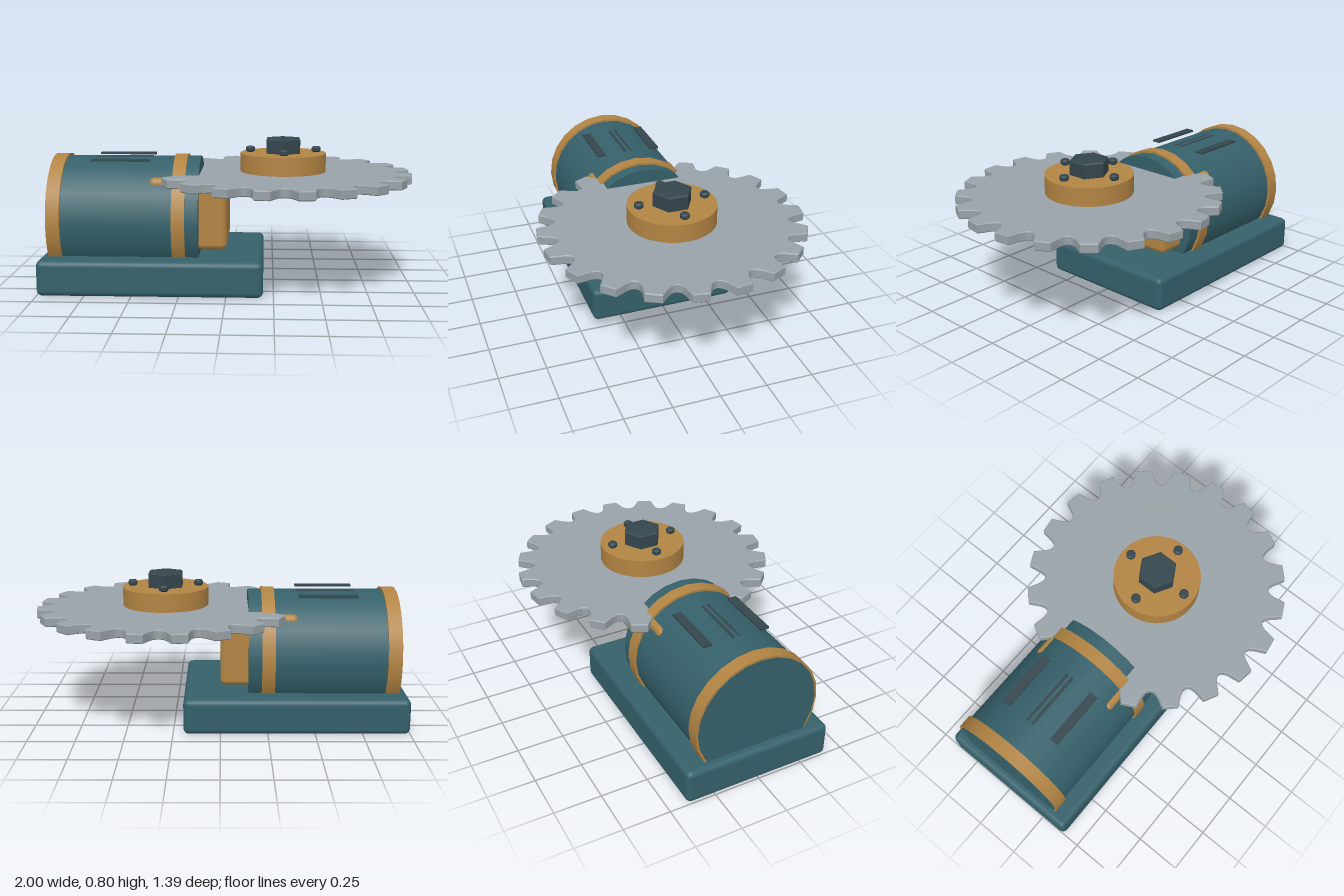
import * as THREE from 'three';
import { RoundedBoxGeometry } from 'three/addons/geometries/RoundedBoxGeometry.js';
import { toCreasedNormals } from 'three/addons/utils/BufferGeometryUtils.js';

const material = (name, color) => {
  const m = new THREE.MeshStandardMaterial({ color });
  m.name = name;
  return m;
};

export function createModel() {
  const teal = material('teal paint', 0x35606a);
  const bronze = material('bronze', 0xb28443);
  const steel = material('steel', 0x98a2a8);
  const dark = material('dark metal', 0x34464d);

  const model = new THREE.Group();
  model.name = 'sawMotor';
  const add = (name, geometry, mat, x, y, z = 0) => {
    const mesh = new THREE.Mesh(geometry, mat);
    mesh.name = name;
    mesh.position.set(x, y, z);
    model.add(mesh);
    return mesh;
  };
  // Box given by its x and y limits and its full depth, centred on z
  const block = (name, mat, x0, x1, y0, y1, depth, r) =>
    add(name, new RoundedBoxGeometry(x1 - x0, y1 - y0, depth, 3, r), mat, (x0 + x1) / 2, (y0 + y1) / 2);
  // Cylinder lying along x
  const barrel = (name, mat, x0, x1, r) =>
    add(name, new THREE.CylinderGeometry(r, r, x1 - x0, 24).rotateZ(Math.PI / 2), mat, (x0 + x1) / 2, 0.37);
  // Upright disc with chamfered rims, standing on y
  const bolt = (name, mat, r, h, c, sides, x, y, z) => {
    const profile = [[0, 0], [r - c, 0], [r, c], [r, h - c], [r - c, h], [0, h]].map(p => new THREE.Vector2(...p));
    return add(name, toCreasedNormals(new THREE.LatheGeometry(profile, sides), 0.6), mat, x, y, z);
  };

  // Base and motor housing
  block('base', teal, -1, 0.195, 0, 0.19, 0.81, 0.03);
  barrel('motorDrum', teal, -0.955, -0.15, 0.33);
  barrel('rearBand', bronze, -0.953, -0.88, 0.342);
  barrel('frontBand', bronze, -0.29, -0.22, 0.342);
  block('gearbox', bronze, -0.415, 0, 0.225, 0.61, 0.51, 0.03);

  // Vent slats
  for (const z of [-0.16, 0, 0.16]) {
    add('ventSlat', new THREE.BoxGeometry(0.315, 0.01, 0.048), dark, -0.575, 0.694, z);
  }

  // Toothed blade: 20 blunt teeth with rounded gullets
  const cx = 0.3, teeth = 20, bevel = 0.005;
  const tooth = [[-3.2, 0.695], [3.2, 0.695], [5.2, 0.635], [6.6, 0.613], [8.3, 0.603], [9.7, 0.603], [11.4, 0.613], [12.8, 0.635]];
  const outline = [];
  for (let i = 0; i < teeth; i++) {
    for (const [deg, r] of tooth) {
      const a = THREE.MathUtils.degToRad(9.3 + i * 360 / teeth + deg);
      outline.push(new THREE.Vector2(r * Math.sin(a), r * Math.cos(a)));
    }
  }
  const bladeGeometry = new THREE.ExtrudeGeometry(new THREE.Shape(outline), {
    depth: 0.05 - 2 * bevel, bevelThickness: bevel, bevelSize: bevel, bevelSegments: 1,
  }).rotateX(-Math.PI / 2);
  add('toothedBlade', bladeGeometry, steel, cx, 0.57 + bevel);

  // Hub, central hex nut and ring of small bolts
  add('hub', new THREE.CylinderGeometry(0.234, 0.234, 0.11, 40), bronze, cx, 0.665);
  bolt('hexNut', dark, 0.105, 0.085, 0.006, 6, cx, 0.715, 0);
  for (let i = 0; i < 4; i++) {
    const a = i * Math.PI / 2;
    bolt('hubBolt', dark, 0.025, 0.03, 0.007, 12, cx + 0.18 * Math.cos(a), 0.725, 0.18 * Math.sin(a));
  }
  return model;
}
